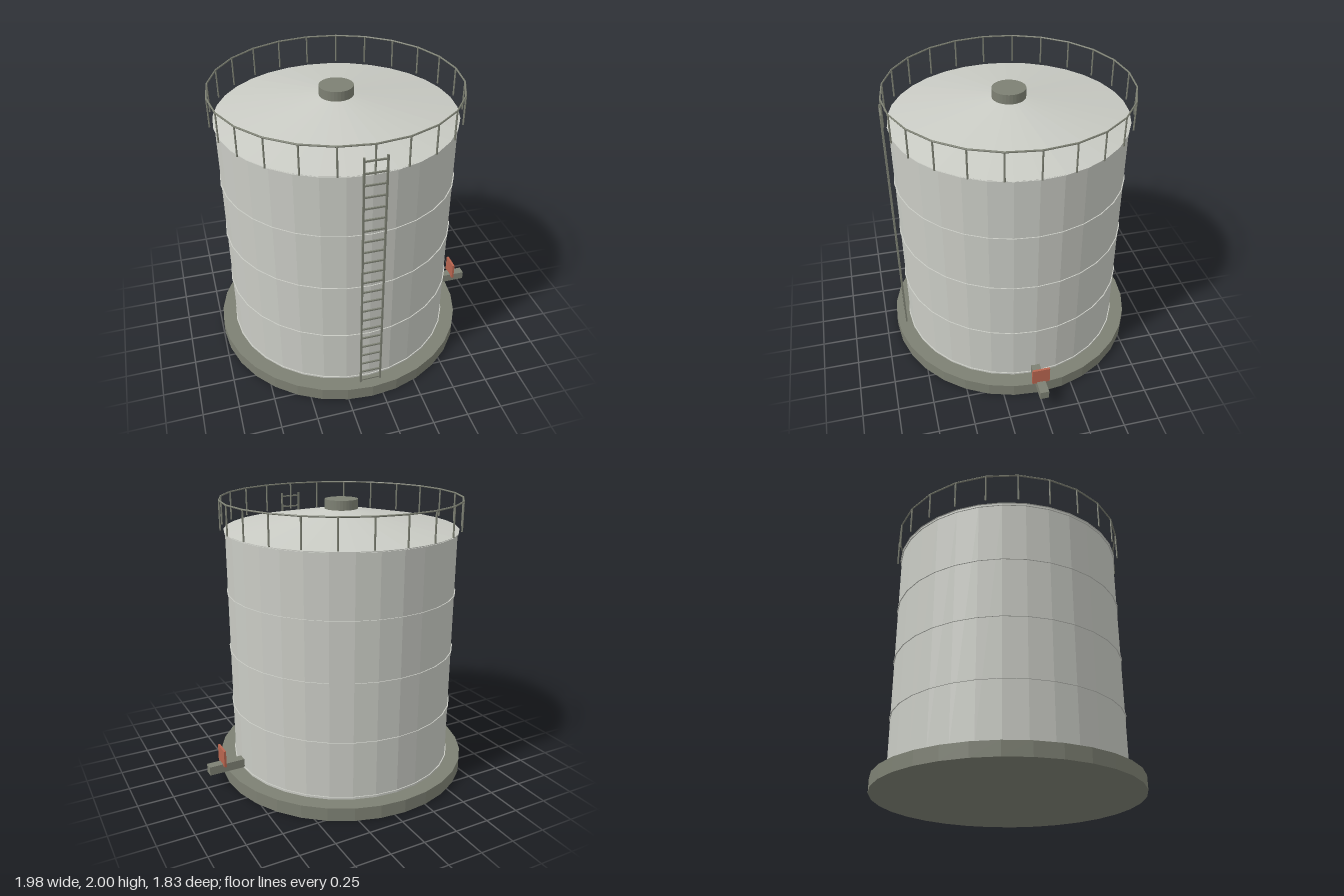
import * as THREE from 'three';

export function createModel() {
  const model = new THREE.Group();
  const flat = (name, color) => {
    const m = new THREE.MeshStandardMaterial({ color });
    m.name = name;
    m.flatShading = true;
    return m;
  };
  const shellGrey = flat('shell grey', 0xc9cbc4);
  const trimGrey = flat('trim grey', 0x7d8073);
  const valveRed = flat('valve red', 0xb8654f);

  const add = (parent, name, geometry, material, x = 0, y = 0, z = 0) => {
    const mesh = new THREE.Mesh(geometry, material);
    mesh.name = name;
    mesh.position.set(x, y, z);
    parent.add(mesh);
    return mesh;
  };
  const group = (name) => {
    const g = new THREE.Group();
    g.name = name;
    tank.add(g);
    return g;
  };

  // Everything round shares one axis, offset to balance the outlet pipe
  const tank = new THREE.Group();
  tank.name = 'tank';
  tank.position.x = -0.077;
  model.add(tank);

  const SIDES = 32;
  const drum = (name, r, y0, y1, material) =>
    add(tank, name, new THREE.CylinderGeometry(r, r, y1 - y0, SIDES), material, 0, (y0 + y1) / 2, 0);

  drum('foundation', 0.915, 0, 0.095, trimGrey);
  drum('shell', 0.807, 0.095, 1.785, shellGrey);
  drum('roofVent', 0.115, 1.912, 1.98, trimGrey);

  // Shallow conical roof
  add(tank, 'roof', new THREE.ConeGeometry(0.817, 0.15, SIDES), shellGrey, 0, 1.86, 0);

  // Weld bands around the shell
  for (const y of [0.11, 0.515, 0.933, 1.348, 1.772]) {
    drum('weldBand', 0.814, y - 0.005, y + 0.005, shellGrey);
  }

  // Guard rail with posts
  const railing = group('railing');
  const POSTS = 24, RAIL_R = 0.838;
  const rail = add(railing, 'topRail', new THREE.TorusGeometry(RAIL_R, 0.006, 6, POSTS), trimGrey, 0, 1.994, 0);
  rail.rotation.x = Math.PI / 2;
  const postGeometry = new THREE.CylinderGeometry(0.006, 0.006, 0.2, 6);
  for (let i = 0; i < POSTS; i++) {
    const a = (i / POSTS) * Math.PI * 2;
    add(railing, 'post', postGeometry, trimGrey, Math.sin(a) * RAIL_R, 1.894, Math.cos(a) * RAIL_R);
  }

  // Ladder up the front
  const ladder = group('ladder');
  ladder.position.z = 0.847;
  for (const side of [-1, 1]) {
    add(ladder, 'ladderStile', new THREE.BoxGeometry(0.012, 1.825, 0.012), trimGrey, side * 0.071, 1.0075, 0);
  }
  const rungGeometry = new THREE.BoxGeometry(0.142, 0.01, 0.01);
  for (let i = 0; i < 23; i++) {
    add(ladder, 'rung', rungGeometry, trimGrey, 0, 0.113 + i * 0.081, 0);
  }

  // Outlet pipe and valve plate on the left side
  add(model, 'outletPipe', new THREE.BoxGeometry(0.285, 0.063, 0.063), trimGrey, 0.8435, 0.143, 0);
  add(model, 'valvePlate', new THREE.BoxGeometry(0.016, 0.125, 0.125), valveRed, 0.88, 0.2275, 0);

  return model;
}
